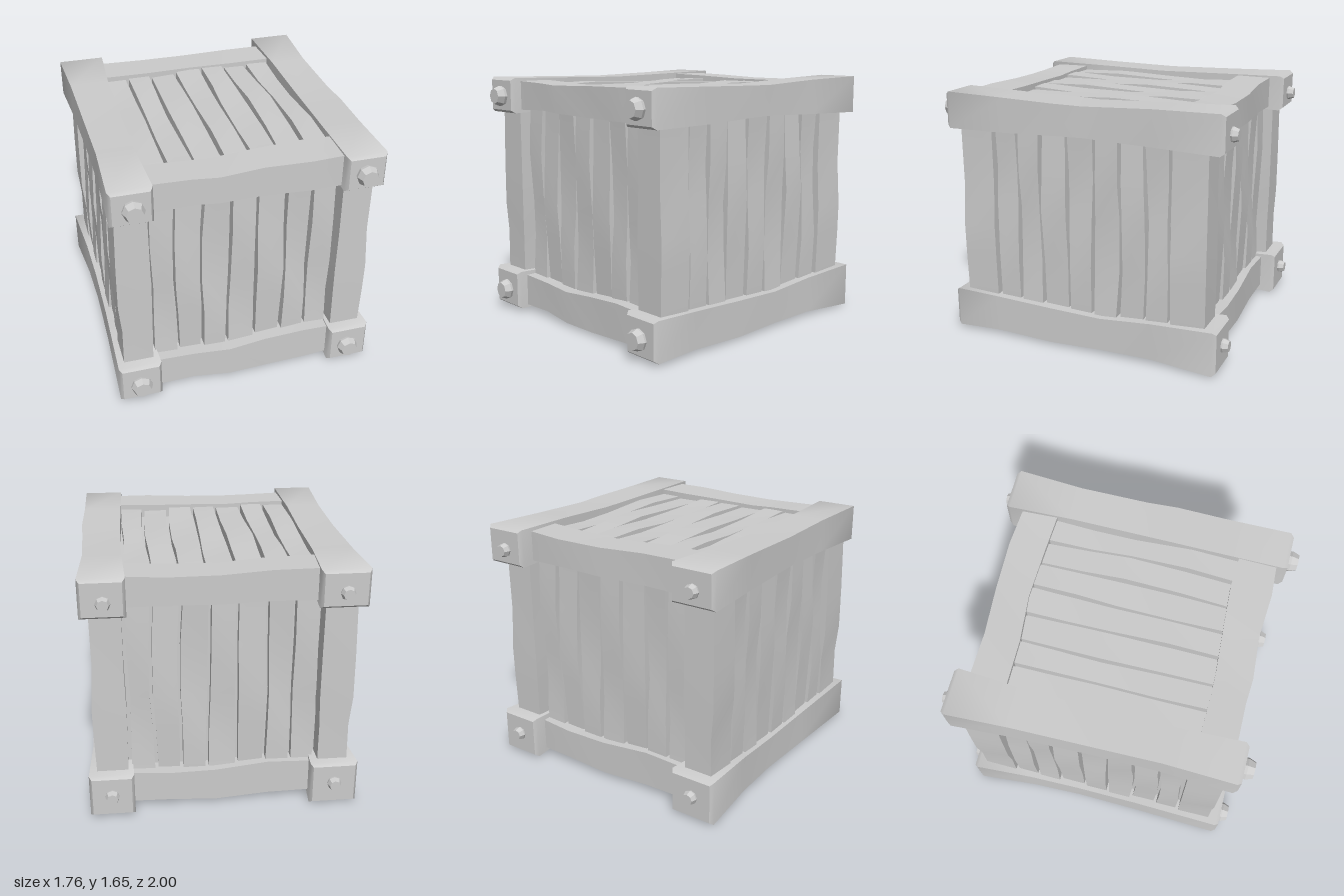
import * as THREE from 'three';
import { toCreasedNormals } from 'three/addons/utils/BufferGeometryUtils.js';

const material = new THREE.MeshStandardMaterial({ color: 0xcccccc });

// Timber running along one axis; each row is [position, a0, a1, b0, b1],
// where a and b are the next two axes in cyclic order (x > y > z > x).
function timber(name, axis, rows) {
  const n = rows.length - 1;
  const geo = new THREE.BoxGeometry(1, 1, 1, 1, 1, n);
  const p = geo.attributes.position;
  const k = 'xyz'.indexOf(axis);
  for (let i = 0; i < p.count; i++) {
    const [t, a0, a1, b0, b1] = rows[Math.round((p.getZ(i) + 0.5) * n)];
    const a = p.getX(i) > 0 ? a1 : a0;
    const b = p.getY(i) > 0 ? b1 : b0;
    p.setComponent(i, k, t);
    p.setComponent(i, (k + 1) % 3, a);
    p.setComponent(i, (k + 2) % 3, b);
  }
  const mesh = new THREE.Mesh(toCreasedNormals(geo, 0.7), material);
  mesh.name = name;
  return mesh;
}

// Gaps between planks: centre position and sideways bend along the length
const stations = [-1, -0.45, 0.1, 0.5, 1];
const gaps = [
  [-0.61, [0, 0, -0.008, 0, 0]],
  [-0.445, [0, 0, 0.005, 0, 0]],
  [-0.278, [0.004, 0, -0.01, -0.004, 0.004]],
  [-0.09, [0, 0.004, 0, 0, -0.004]],
  [0.09, [-0.008, -0.005, 0, 0.008, 0.012]],
  [0.27, [-0.012, 0.008, 0.01, 0, 0]],
  [0.443, [-0.004, 0.012, 0.014, 0, -0.01]],
  [0.608, [0, 0.006, -0.008, -0.004, 0]],
];

// Seven wavy planks filling one face. acrossFirst: the across direction is axis a.
function panel(name, axis, acrossFirst, outer, dir, mid, half, sh, st) {
  const group = new THREE.Group();
  group.name = name;
  for (let i = 0; i < gaps.length - 1; i++) {
    const rows = stations.map((s, j) => {
      const h0 = sh * (gaps[i][0] + gaps[i][1][j] + 0.011);
      const h1 = sh * (gaps[i + 1][0] + gaps[i + 1][1][j] - 0.011);
      const face = outer + dir * 0.012 * Math.sin(i * 2.1 + j * 1.7);
      const across = [Math.min(h0, h1), Math.max(h0, h1)];
      const depth = [face, face - dir * 0.08].sort((u, v) => u - v);
      const t = mid + st * s * half;
      return acrossFirst ? [t, ...across, ...depth] : [t, ...depth, ...across];
    });
    rows.sort((u, v) => u[0] - v[0]);
    group.add(timber('plank', axis, rows));
  }
  return group;
}

// Tapered eight-sided bolt head on the end of a rail
function bolt(x, y, zBase, zTip, r) {
  const len = Math.abs(zTip - zBase) + 0.02;
  const profile = [[r * 0.9, 0], [r, len * 0.5], [r * 0.76, len], [0, len]]
    .map(([u, v]) => new THREE.Vector2(u, v));
  const mesh = new THREE.Mesh(toCreasedNormals(new THREE.LatheGeometry(profile, 8), 0.2), material);
  mesh.name = 'bolt';
  const dir = Math.sign(zTip);
  mesh.rotation.x = dir * Math.PI / 2;
  mesh.position.set(x, y, zBase - dir * 0.02);
  return mesh;
}

// Adds a small chamfer at both ends of a rail
function chamfered(rows) {
  const c = 0.018;
  const end = (r, dz) => [r[0] + dz, r[1] + c, r[2] - c, r[3] + c, r[4] - c];
  return [end(rows[0], -0.025), ...rows, end(rows[rows.length - 1], 0.025)];
}

export function createModel() {
  const crate = new THREE.Group();
  crate.name = 'crate';

  // Four long rails, front to back
  const rails = {
    upperRightRail: [
      [-0.905, -0.875, -0.57, 1.405, 1.65], [-0.5, -0.855, -0.595, 1.415, 1.64],
      [0, -0.845, -0.6, 1.43, 1.63], [0.45, -0.84, -0.605, 1.42, 1.64], [0.908, -0.858, -0.59, 1.41, 1.65]],
    upperLeftRail: [
      [-0.93, 0.59, 0.872, 1.405, 1.655], [-0.5, 0.608, 0.85, 1.415, 1.645],
      [-0.05, 0.615, 0.862, 1.432, 1.628], [0.15, 0.612, 0.872, 1.43, 1.632],
      [0.5, 0.605, 0.862, 1.415, 1.64], [0.908, 0.598, 0.86, 1.41, 1.65]],
    lowerRightRail: [
      [-0.905, -0.88, -0.567, 0, 0.3], [-0.5, -0.85, -0.59, 0.025, 0.275],
      [-0.15, -0.84, -0.6, 0.03, 0.255], [0.3, -0.845, -0.6, 0.02, 0.265], [0.908, -0.865, -0.583, 0.022, 0.29]],
    lowerLeftRail: [
      [-0.915, 0.585, 0.876, 0.005, 0.3], [-0.5, 0.6, 0.855, 0.03, 0.275],
      [-0.15, 0.61, 0.86, 0.03, 0.25], [0.2, 0.61, 0.865, 0.018, 0.262],
      [0.6, 0.605, 0.86, 0.03, 0.275], [0.908, 0.59, 0.868, 0.02, 0.288]],
  };
  for (const name in rails) crate.add(timber(name, 'z', chamfered(rails[name])));

  // Cross rails, side to side: [x, y0, y1, z0, z1]
  const cross = {
    upperFrontRail: [
      [-0.65, 1.43, 1.63, 0.63, 0.86], [-0.35, 1.443, 1.622, 0.64, 0.858], [-0.18, 1.435, 1.615, 0.637, 0.87],
      [0.1, 1.427, 1.625, 0.62, 0.85], [0.4, 1.427, 1.632, 0.605, 0.872], [0.65, 1.425, 1.635, 0.618, 0.86]],
    upperBackRail: [
      [-0.65, 1.425, 1.635, -0.83, -0.59], [-0.3, 1.43, 1.63, -0.825, -0.595], [0.02, 1.43, 1.618, -0.85, -0.63],
      [0.35, 1.44, 1.62, -0.86, -0.62], [0.65, 1.43, 1.63, -0.838, -0.605]],
    lowerFrontRail: [
      [-0.65, 0.04, 0.262, 0.63, 0.86], [-0.35, 0.045, 0.25, 0.635, 0.855], [-0.1, 0.025, 0.242, 0.62, 0.87],
      [0.15, 0.02, 0.26, 0.62, 0.855], [0.42, 0.04, 0.282, 0.615, 0.865], [0.65, 0.05, 0.272, 0.62, 0.86]],
    lowerBackRail: [
      [-0.65, 0.05, 0.272, -0.83, -0.61], [-0.3, 0.04, 0.28, -0.825, -0.62], [0.05, 0.022, 0.25, -0.84, -0.625],
      [0.35, 0.045, 0.25, -0.85, -0.6], [0.65, 0.04, 0.262, -0.835, -0.605]],
  };
  for (const name in cross) crate.add(timber(name, 'x', cross[name]));

  // Four gently bowed corner posts
  for (const sx of [-1, 1]) for (const sz of [-1, 1]) {
    const rows = [0.2, 0.55, 0.75, 1.05, 1.5].map((y, j) => {
      const bow = [0, 0.012, 0.015, -0.005, 0][sx > 0 ? j : 4 - j] * 0.9;
      const z = [sz * 0.622, sz * (0.85 + bow * 0.3)].sort((a, b) => a - b);
      const x = [sx * (0.622 - bow * 0.4), sx * (0.82 + bow)].sort((a, b) => a - b);
      return [y, ...z, ...x];
    });
    crate.add(timber('cornerPost', 'y', rows));
  }

  // Plank panels on all six faces
  crate.add(
    panel('frontPanel', 'y', false, 0.782, 1, 0.85, 0.62, -1, -1),
    panel('backPanel', 'y', false, -0.782, -1, 0.85, 0.62, 1, -1),
    panel('leftPanel', 'y', true, 0.805, 1, 0.85, 0.62, -1, 1),
    panel('rightPanel', 'y', true, -0.805, -1, 0.85, 0.62, 1, 1),
    panel('topPanel', 'z', true, 1.598, 1, 0, 0.68, 1, -1),
    panel('bottomPanel', 'z', true, 0.068, -1, 0, 0.68, -1, 1),
  );

  // Inner lining seen through the gaps
  const lining = new THREE.Mesh(new THREE.BoxGeometry(1.49, 1.41, 1.44), material);
  lining.name = 'lining';
  lining.position.y = 0.835;
  crate.add(lining);

  // Bolts on both ends of the long rails
  crate.add(
    bolt(-0.715, 1.525, 0.928, 0.998, 0.07), bolt(0.725, 1.525, 0.928, 0.998, 0.07),
    bolt(-0.725, 0.143, 0.928, 0.99, 0.072), bolt(0.72, 0.143, 0.928, 0.99, 0.072),
    bolt(-0.73, 1.51, -0.928, -0.975, 0.047), bolt(0.725, 1.51, -0.953, -1, 0.047),
    bolt(-0.725, 0.16, -0.928, -0.975, 0.047), bolt(0.73, 0.16, -0.938, -0.985, 0.047),
  );
  return crate;
}
